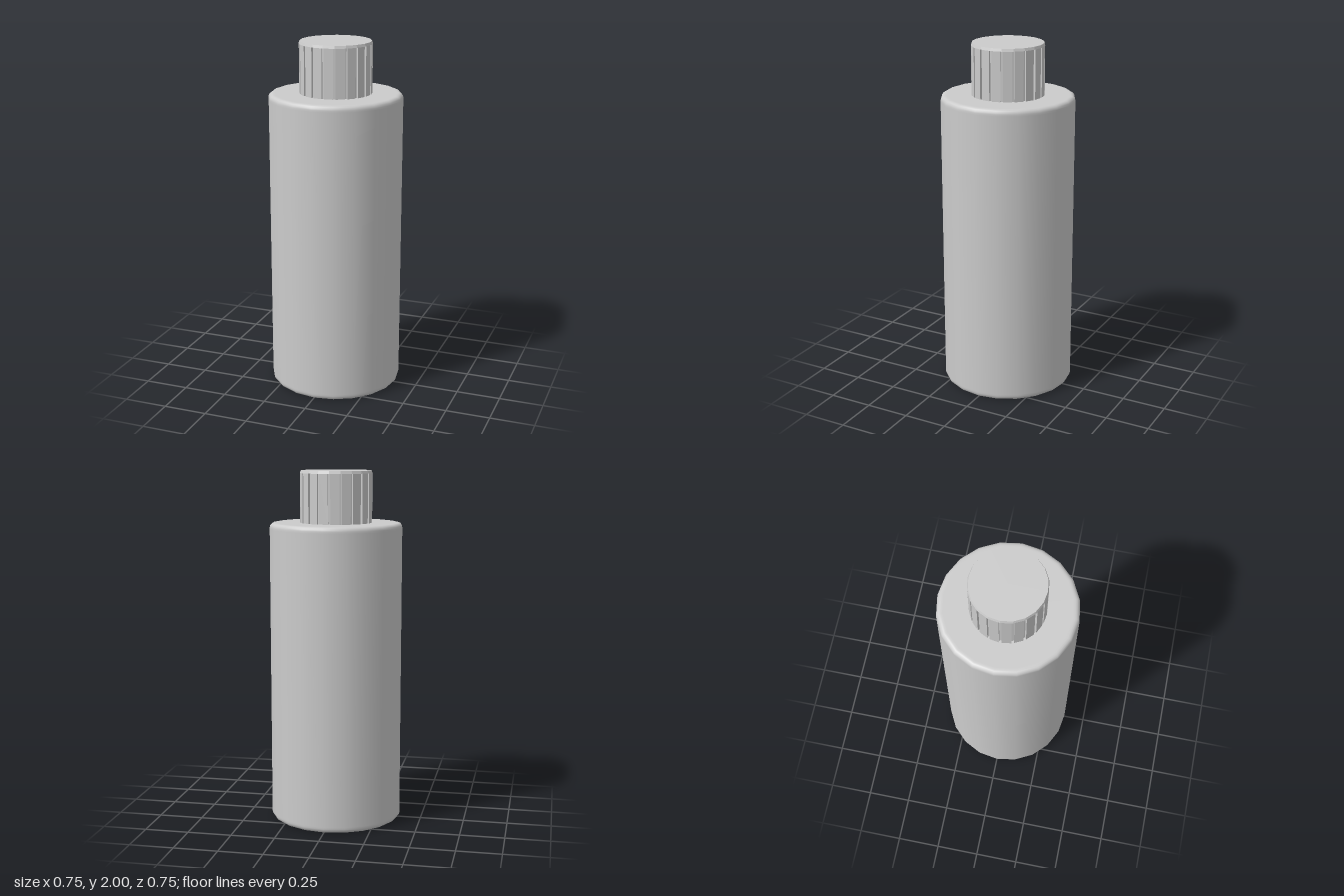
import * as THREE from 'three';

const SIDES = 20;
const BODY_R = 0.376, BODY_TOP = 1.71, BEVEL = 0.025;
const CAP_R = 0.205, RIM_Y = 1.985, GROOVE_DEPTH = 0.013;

// Body profile: flat base, small rounded edges, straight wall, flat shoulder
function bodyProfile() {
  const pts = [[0, 0], [BODY_R - BEVEL - 0.01, 0]];
  const arc = (cy, from) => {
    for (let i = 0; i <= 4; i++) {
      const a = from + (i / 4) * Math.PI / 2;
      pts.push([BODY_R - BEVEL + BEVEL * Math.cos(a), cy + BEVEL * Math.sin(a)]);
    }
  };
  arc(BEVEL, -Math.PI / 2);
  pts.push([BODY_R, BEVEL + 0.01], [BODY_R, BODY_TOP - BEVEL - 0.01]);
  arc(BODY_TOP - BEVEL, 0);
  pts.push([BODY_R - BEVEL - 0.01, BODY_TOP], [0, BODY_TOP]);
  return pts.map(([x, y]) => new THREE.Vector2(x, y));
}

// Twenty-sided cap outline with a narrow groove at each corner
function grooveOutline() {
  const corner = (k, r) => {
    const a = (k / SIDES) * Math.PI * 2;
    return new THREE.Vector2(Math.cos(a) * r, Math.sin(a) * r);
  };
  const pts = [];
  for (let k = 0; k < SIDES; k++) {
    const outer = corner(k, CAP_R);
    const before = outer.clone().lerp(corner(k - 1, CAP_R), 0.11);
    const after = outer.clone().lerp(corner(k + 1, CAP_R), 0.11);
    const inward = corner(k, GROOVE_DEPTH);
    pts.push(before, before.clone().sub(inward), after.clone().sub(inward), after);
  }
  return new THREE.Shape(pts);
}

export function createModel() {
  const model = new THREE.Group();
  model.name = 'bottle';
  const smooth = new THREE.MeshStandardMaterial({ color: 0xcccccc });
  const flat = new THREE.MeshStandardMaterial({ color: 0xcccccc, flatShading: true });
  const add = (name, geometry, material, parent) => {
    const mesh = new THREE.Mesh(geometry, material);
    mesh.name = name;
    parent.add(mesh);
    return mesh;
  };

  add('body', new THREE.LatheGeometry(bodyProfile(), SIDES), smooth, model);

  const cap = new THREE.Group();
  cap.name = 'cap';
  model.add(cap);

  // Grooved grip
  const grip = new THREE.ExtrudeGeometry(grooveOutline(), { depth: RIM_Y - BODY_TOP, bevelEnabled: false });
  grip.rotateX(-Math.PI / 2).translate(0, BODY_TOP, 0);
  add('capGrip', grip, flat, cap);

  // Chamfered lid over the grooves
  const rimHeight = 2 - RIM_Y;
  const rim = new THREE.CylinderGeometry(CAP_R - 0.005, CAP_R, rimHeight, SIDES);
  add('capTop', rim, flat, cap).position.y = RIM_Y + rimHeight / 2;

  return model;
}
